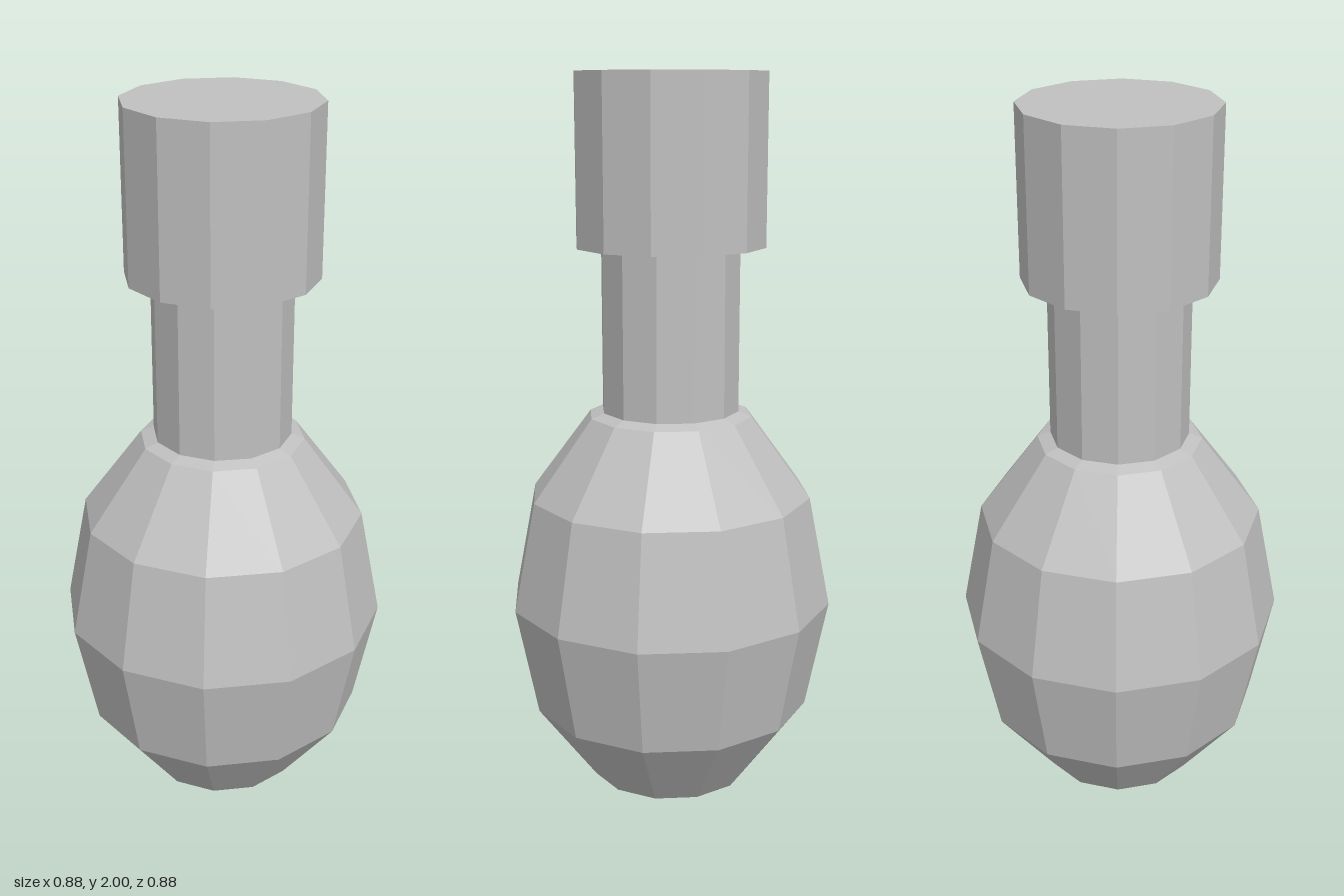
import * as THREE from 'three';

const SIDES = 12;

export function createModel() {
  const model = new THREE.Group();
  const grey = new THREE.MeshStandardMaterial({ color: 0xc0c0c0, flatShading: true });
  grey.name = 'grey';

  const add = (name, geometry, y) => {
    const mesh = new THREE.Mesh(geometry, grey);
    mesh.name = name;
    mesh.position.y = y;
    model.add(mesh);
  };

  // Faceted egg-shaped bulb, stretched upwards
  const bulb = new THREE.SphereGeometry(0.44, SIDES, 6);
  bulb.scale(1, 0.595 / 0.44, 1);
  add('bulb', bulb, 0.598);

  // Narrow neck, standing on the shoulder of the bulb
  add('neck', new THREE.CylinderGeometry(0.185, 0.185, 0.45, SIDES), 1.335);

  // Wider cap
  add('cap', new THREE.CylinderGeometry(0.252, 0.252, 0.44, SIDES), 1.78);

  return model;
}
